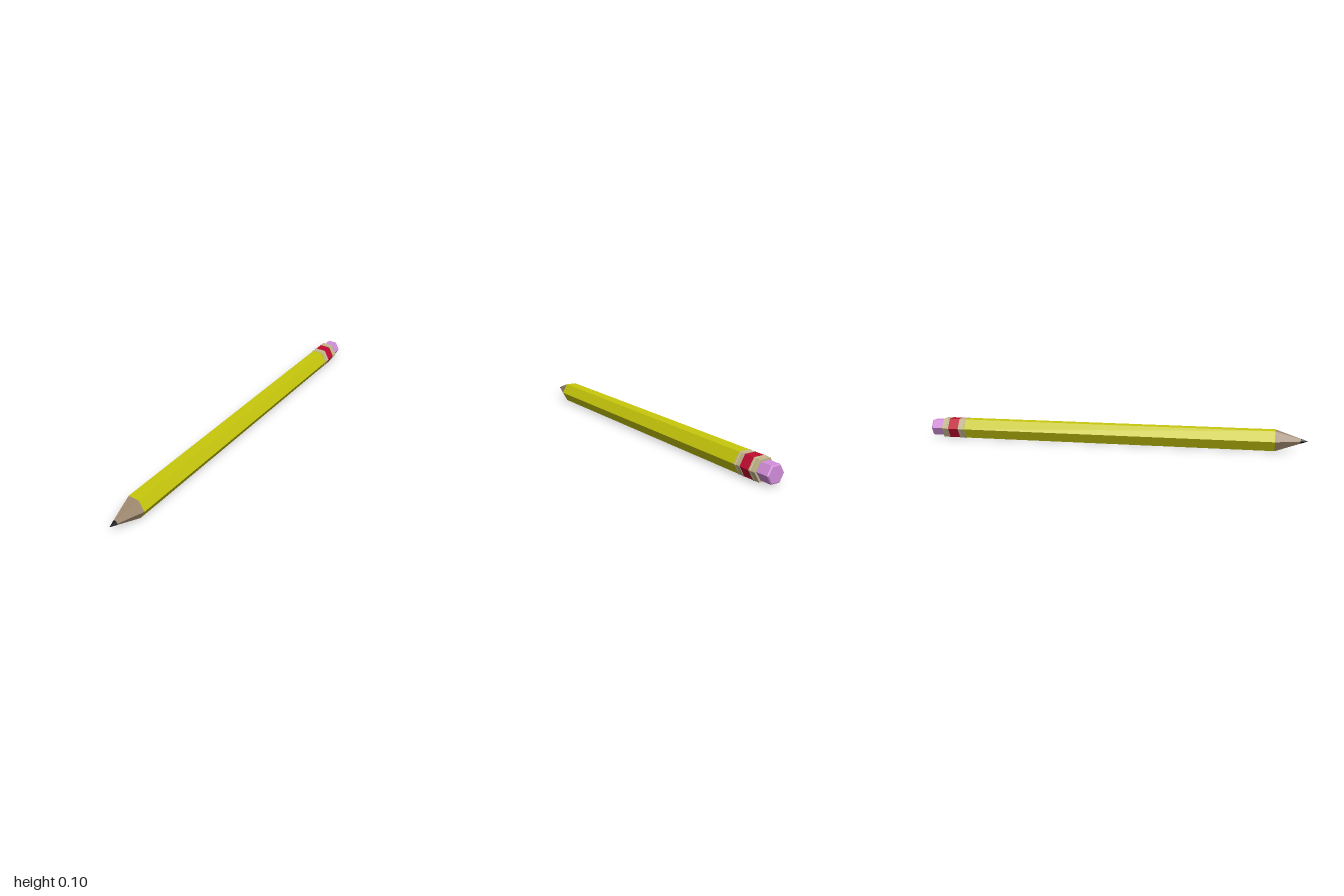
import * as THREE from 'three';

const R = 0.06;                        // corner radius of the widest hexagon
const AXIS_Y = R * Math.cos(Math.PI / 6);

// Six-sided part turned about the z axis; profile is [radius, z] with z rising
function hexPart(name, color, profile) {
  const points = profile.map(([r, z]) => new THREE.Vector2(r, z));
  const geometry = new THREE.LatheGeometry(points, 6, Math.PI / 2);
  geometry.rotateX(Math.PI / 2);
  const material = new THREE.MeshStandardMaterial({ color, flatShading: true });
  const mesh = new THREE.Mesh(geometry, material);
  mesh.name = name;
  return mesh;
}

export function createModel() {
  const pencil = new THREE.Group();
  pencil.name = 'pencil';
  const tan = 0xc4b78c;

  // Sharpened end
  pencil.add(hexPart('leadTip', 0x0c0c0c, [[0.013, 0.964], [0, 1]]));
  pencil.add(hexPart('sharpenedWood', 0x9c866c, [[0.058, 0.84], [0.013, 0.964]]));

  // Painted shaft
  pencil.add(hexPart('shaft', 0xc8c80c, [[0, -0.81], [0.058, -0.81], [0.058, 0.84]]));

  // Ferrule: two ridged metal bands with a red band between them
  const ferrule = new THREE.Group();
  ferrule.name = 'ferrule';
  ferrule.add(hexPart('frontBand', tan, [
    [0.057, -0.839], [R, -0.839], [R, -0.832], [0.058, -0.83],
    [0.058, -0.812], [R, -0.81], [R, -0.803], [0.057, -0.803],
  ]));
  ferrule.add(hexPart('redBand', 0xc20c30, [[0.058, -0.896], [0.058, -0.839]]));
  ferrule.add(hexPart('rearBand', tan, [
    [0, -0.933], [0.057, -0.933], [0.058, -0.931], [0.058, -0.906],
    [R, -0.904], [R, -0.896], [0.057, -0.896],
  ]));
  pencil.add(ferrule);

  // Eraser with a small bevel at the end
  pencil.add(hexPart('eraser', 0xd38fdc, [
    [0, -1], [0.042, -1], [0.047, -0.995], [0.047, -0.93],
  ]));

  pencil.position.y = AXIS_Y;
  const model = new THREE.Group();
  model.add(pencil);
  return model;
}
